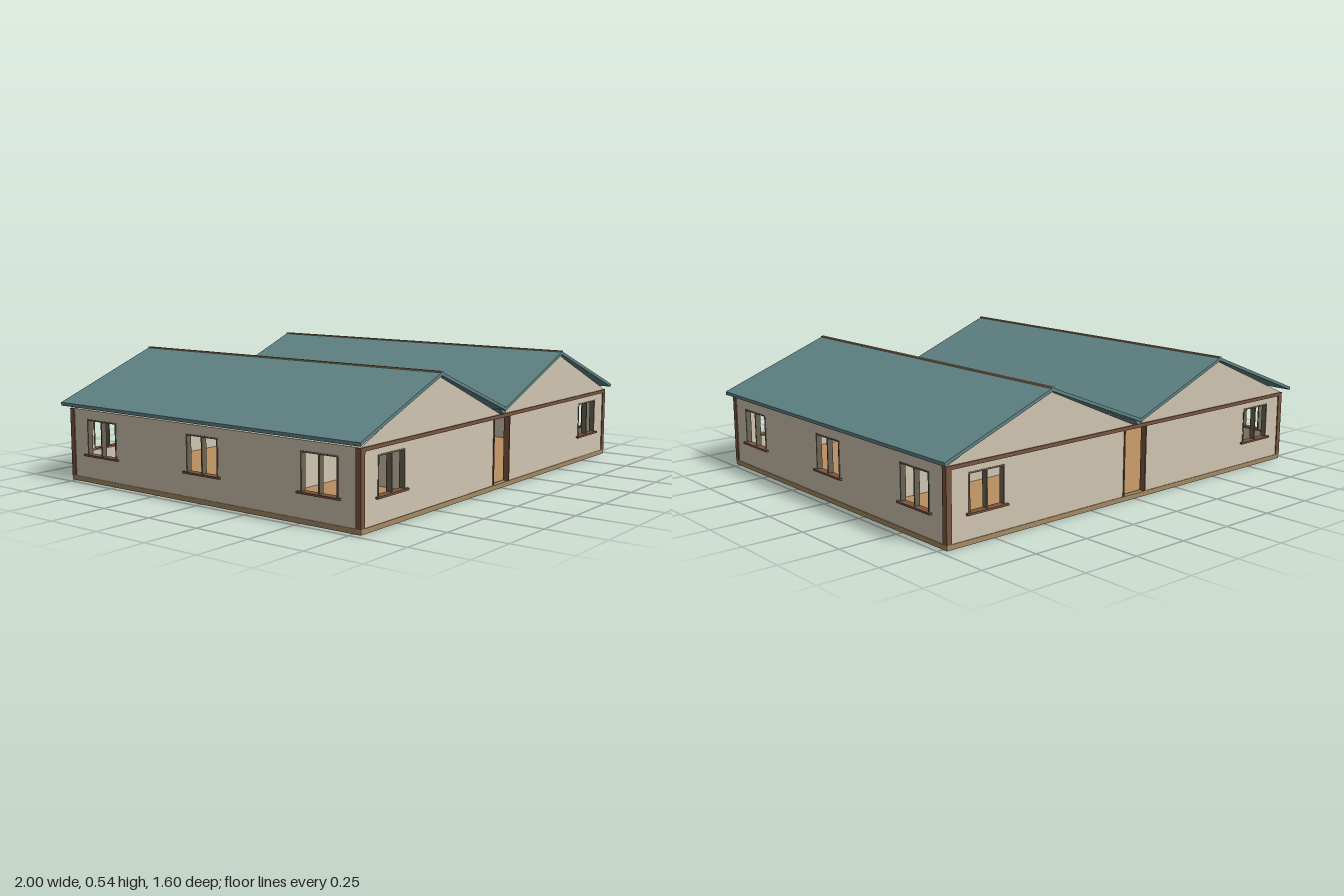
import * as THREE from 'three';

const mat = (color) => new THREE.MeshStandardMaterial({ color });
const WALL = mat(0xcfc4b0), TRIM = mat(0x7a5540), BASE = mat(0xa58a63), FLOOR = mat(0xb98f60);
const ROOF = mat(0x5f8284), RIDGE = mat(0xb08d5e), FRAME = mat(0x6b6453);

// Outline of the plan and the wall heights
const X = 0.97, ZF = 0.78, ZB = -0.77, ZM = (ZF + ZB) / 2, T = 0.02;
const Y0 = 0.02, Y1 = 0.312, SILL = 0.12, HEAD = 0.273;

function add(parent, name, geometry, material) {
  const mesh = new THREE.Mesh(geometry, material);
  mesh.name = name;
  parent.add(mesh);
  return mesh;
}

// Box given by its minimum and maximum corners
function box(parent, name, material, [x0, y0, z0], [x1, y1, z1]) {
  const mesh = add(parent, name, new THREE.BoxGeometry(x1 - x0, y1 - y0, z1 - z0), material);
  mesh.position.set((x0 + x1) / 2, (y0 + y1) / 2, (z0 + z1) / 2);
  return mesh;
}

const polygon = (pts) => new THREE.Shape(pts.map((p) => new THREE.Vector2(...p)));

const extrude = (shape, depth) => new THREE.ExtrudeGeometry(shape, { depth, bevelEnabled: false });

// Framed opening with central mullion and projecting sill; the outer wall face is local z = 0
function windowUnit(parent, a, b) {
  const g = new THREE.Group();
  g.name = 'window';
  const f = 0.006, mid = (a + b) / 2, back = -T - 0.002, front = 0.002;
  for (const x of [a, mid - f / 2, b - f]) {
    box(g, 'windowUpright', FRAME, [x, SILL, back], [x + f, HEAD, front]);
  }
  box(g, 'windowHead', FRAME, [a, HEAD - f, back], [b, HEAD, front]);
  box(g, 'windowSill', TRIM, [a - 0.013, SILL - 0.006, back], [b + 0.013, SILL + 0.002, 0.012]);
  parent.add(g);
}

// Straight wall along local x with window openings and an optional doorway
function wall(name, halfLength, windows, door) {
  const g = new THREE.Group();
  g.name = name;
  const outline = [[-halfLength, Y0]];
  if (door) outline.push([door[0], Y0], [door[0], 0.295], [door[1], 0.295], [door[1], Y0]);
  outline.push([halfLength, Y0], [halfLength, Y1], [-halfLength, Y1]);
  const shape = polygon(outline);
  for (const [a, b] of windows) {
    shape.holes.push(polygon([[a, SILL], [a, HEAD], [b, HEAD], [b, SILL]]));
    windowUnit(g, a, b);
  }
  add(g, 'wallPanel', extrude(shape, T), WALL).position.z = -T;
  if (door) {
    for (const s of [0, 1]) {
      const x = door[s] - (s ? 0.004 : 0.002);
      box(g, 'doorPost', TRIM, [x, Y0, -T - 0.003], [x + 0.006, 0.295, 0.004]);
    }
  }
  return g;
}

export function createModel() {
  const house = new THREE.Group();
  house.name = 'house';

  // Ground slab and floor
  box(house, 'baseSlab', BASE, [-X - 0.003, 0, ZB - 0.003], [X + 0.003, Y0, ZF + 0.003]);
  box(house, 'floor', FLOOR, [-X + T, Y0, ZB + T], [X - T, Y0 + 0.002, ZF - T]);

  // Gable-end walls, front and back, each with two triangular gables and a tie beam
  const endWindows = [[-0.87, -0.7], [0.7, 0.87]];
  for (const side of [1, -1]) {
    const g = wall(side > 0 ? 'frontWall' : 'backWall', X, endWindows, [-0.065, 0.062]);
    for (const s of [-1, 1]) {
      const gable = polygon([[0.01 * s, Y1], [X * s, Y1], [0.487 * s, 0.52]]);
      add(g, 'gable', extrude(gable, T), WALL).position.z = -T;
    }
    box(g, 'tieBeam', TRIM, [-X, 0.297, -T], [X, Y1, 0.005]);
    g.position.z = side > 0 ? ZF : ZB;
    if (side < 0) g.rotation.y = Math.PI;
    house.add(g);
  }

  // Eaves walls with three windows each, given in world z
  const sideWindows = [[0.505, 0.68], [-0.08, 0.092], [-0.67, -0.49]];
  for (const side of [1, -1]) {
    const local = sideWindows.map(([a, b]) => [(ZM - a) * side, (ZM - b) * side].sort((p, q) => p - q));
    const g = wall(side > 0 ? 'leftWall' : 'rightWall', (ZF - ZB) / 2 - T, local);
    g.rotation.y = side * Math.PI / 2;
    g.position.set(side * X, 0, ZM);
    house.add(g);
  }

  // Corner posts
  for (const x of [-X, X]) {
    for (const z of [ZB, ZF]) {
      const ix = x - Math.sign(x) * 0.008, iz = z - Math.sign(z) * 0.008;
      box(house, 'cornerPost', TRIM, [ix - 0.012, Y0, iz - 0.012], [ix + 0.012, Y1, iz + 0.012]);
    }
  }

  // Partitions closing off two rooms in opposite corners
  box(house, 'partition', WALL, [0.08, Y0, ZB + T], [0.095, Y1, -0.2]);
  box(house, 'partition', WALL, [0.08, Y0, -0.2], [X - T, Y1, -0.185]);
  box(house, 'partition', WALL, [-0.365, Y0, 0.2], [-0.35, Y1, ZF - T]);
  box(house, 'partition', WALL, [-X + T, Y0, 0.185], [-0.35, Y1, 0.2]);

  // Double-pitched roof as one folded sheet
  const top = [[-1, 0.337], [-0.487, 0.534], [0, 0.342], [0.487, 0.534], [1, 0.337]];
  const under = top.map(([x, y]) => [x, y - 0.014]).reverse();
  add(house, 'roof', extrude(polygon([...under, ...top]), 1.6), ROOF).position.z = -0.8;

  // Ridge caps and the valley gutter
  for (const s of [-1, 1]) {
    box(house, 'ridgeCap', RIDGE, [s * 0.487 - 0.007, 0.524, -0.8], [s * 0.487 + 0.007, 0.537, 0.8]);
  }
  const gutter = polygon([[-0.022, 0.333], [-0.012, 0.316], [0.012, 0.316], [0.022, 0.333]]);
  add(house, 'valleyGutter', extrude(gutter, 1.58), ROOF).position.z = -0.79;

  return house;
}
